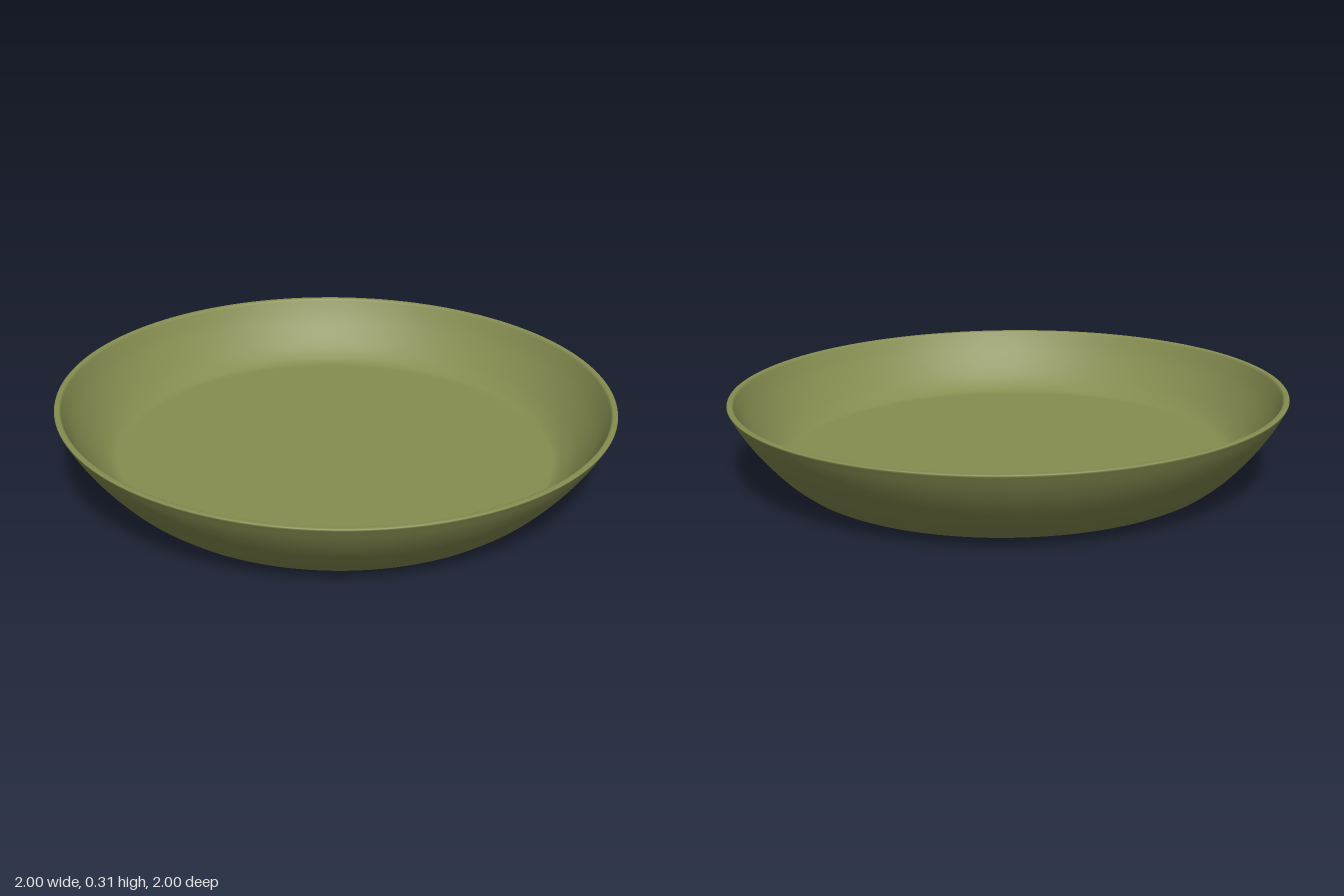
import * as THREE from 'three';

// Smooth run of profile points through a few control points
function smooth(points, count) {
  const curve = new THREE.SplineCurve(points.map(([x, y]) => new THREE.Vector2(x, y)));
  return curve.getPoints(count);
}
const straight = (points) => points.map(([x, y]) => new THREE.Vector2(x, y));

export function createModel() {
  const group = new THREE.Group();
  const oliveGlaze = new THREE.MeshStandardMaterial({ color: 0x868d50 });

  const profile = [
    // recessed underside with the small raised ring
    ...straight([[0, 0.024], [0.215, 0.024]]),
    ...smooth([[0.225, 0.024], [0.237, 0.016], [0.252, 0.007], [0.267, 0.016], [0.279, 0.024]], 12),
    ...straight([[0.29, 0.024], [0.675, 0.024]]),
    // rounded foot
    ...smooth([[0.685, 0.023], [0.703, 0.012], [0.72, 0.001], [0.742, 0], [0.765, 0.006]], 14),
    // curved outer wall
    ...smooth([[0.78, 0.014], [0.83, 0.055], [0.88, 0.108], [0.93, 0.17], [0.97, 0.23], [0.997, 0.28]], 20),
    // narrow rounded lip
    ...straight([[1, 0.285], [0.999, 0.288], [0.995, 0.29], [0.983, 0.29], [0.978, 0.287]]),
    // curved inner wall
    ...smooth([[0.975, 0.28], [0.945, 0.222], [0.905, 0.163], [0.86, 0.11], [0.82, 0.077], [0.797, 0.066]], 20),
    // flat floor
    ...straight([[0.785, 0.064], [0.77, 0.064], [0, 0.064]]),
  ];

  const dish = new THREE.Mesh(new THREE.LatheGeometry(profile, 128), oliveGlaze);
  dish.name = 'shallowDish';
  // the dish sits with a slight tilt
  dish.rotation.set(0.004, 0, -0.0125);
  dish.position.set(-0.002, 0.01, 0);
  group.add(dish);

  group.name = 'dish';
  return group;
}
